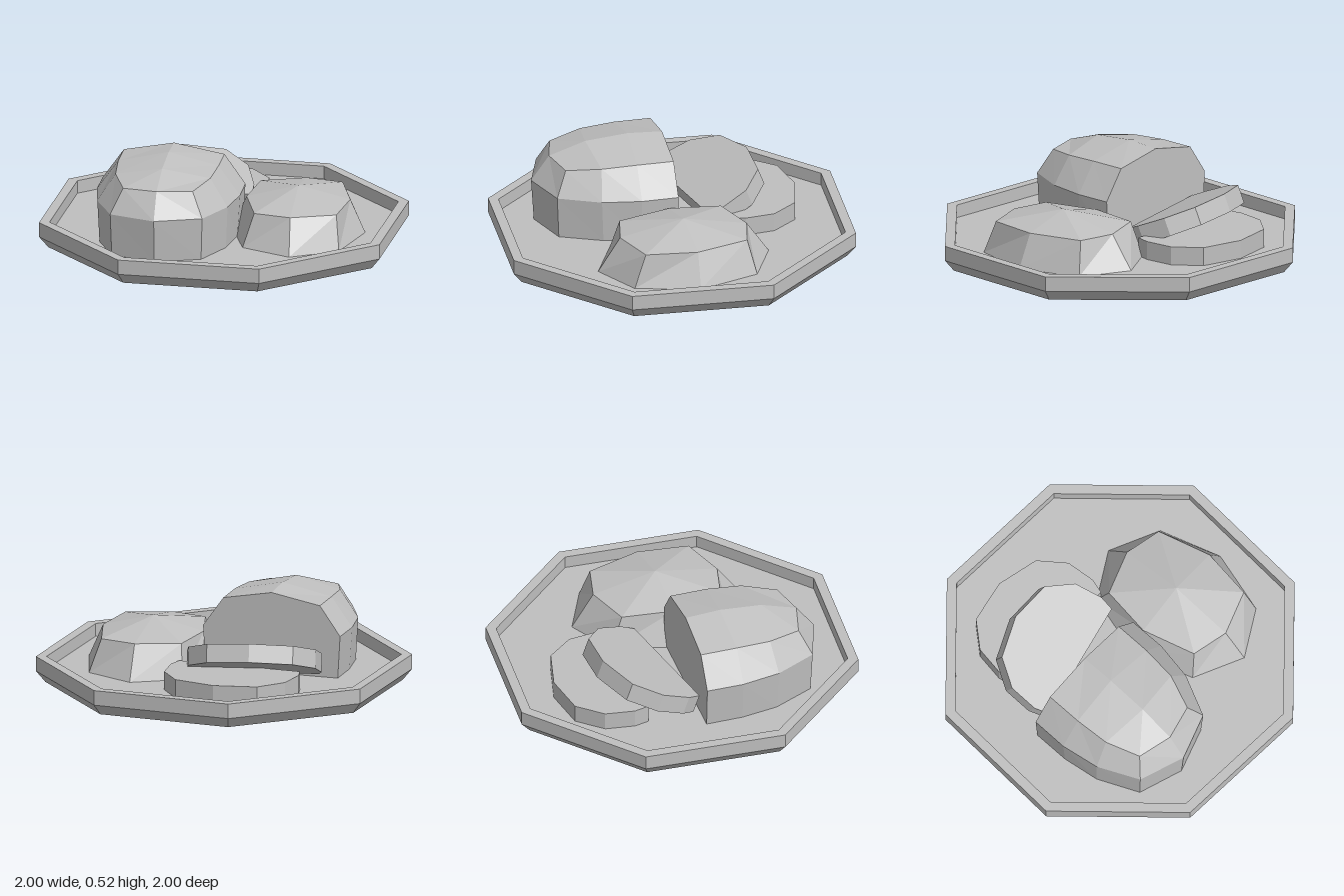
import * as THREE from 'three';

// Skin a list of equal-length cross-sections
function loft(sections, capStart = false) {
  const pos = [];
  const tri = (a, b, c) => {
    const same = (p, q) => p.every((v, i) => Math.abs(v - q[i]) < 1e-6);
    if (!same(a, b) && !same(b, c) && !same(c, a)) pos.push(...a, ...b, ...c);
  };
  for (let i = 0; i < sections.length - 1; i++) {
    const s = sections[i], n = sections[i + 1];
    for (let j = 0; j < s.length - 1; j++) {
      tri(s[j], s[j + 1], n[j + 1]);
      tri(s[j], n[j + 1], n[j]);
    }
  }
  if (capStart) {
    const s = sections[0];
    for (let j = 1; j < s.length - 1; j++) tri(s[0], s[j + 1], s[j]);
  }
  const g = new THREE.BufferGeometry();
  g.setAttribute('position', new THREE.Float32BufferAttribute(pos, 3));
  g.computeVertexNormals();
  return g;
}

export function createModel() {
  const model = new THREE.Group();
  const grey = new THREE.MeshStandardMaterial({ color: 0xbfbfbf, flatShading: true });
  grey.name = 'plain grey';
  const FLOOR = 0.07;

  const add = (name, geometry) => {
    const mesh = new THREE.Mesh(geometry, grey);
    mesh.name = name;
    model.add(mesh);
    return mesh;
  };

  // Octagonal plate with a raised rim
  const profile = [[0, 0], [0.95, 0], [1, 0.06], [1, 0.14], [0.943, 0.14], [0.943, FLOOR], [0, FLOOR]]
    .map(([x, y]) => new THREE.Vector2(x, y));
  add('plate', new THREE.LatheGeometry(profile, 8)).rotation.y = -0.007;

  // Cut loaf: half sections [x, y, z] from base to ridge, mirrored across x
  const halves = [
    [[0.37, FLOOR, 0], [0.383, 0.3, 0], [0.27, 0.46, 0], [0, 0.51, 0]],
    [[0.37, FLOOR, 0.2], [0.385, 0.3, 0.2], [0.27, 0.46, 0.2], [0, 0.52, 0.19]],
    [[0.34, FLOOR, 0.4], [0.35, 0.3, 0.41], [0.255, 0.45, 0.39], [0, 0.5, 0.42]],
    [[0.24, FLOOR, 0.62], [0.247, 0.3, 0.63], [0.187, 0.43, 0.57], [0, 0.435, 0.617]],
    [[0, FLOOR, 0.7], [0, 0.3, 0.715], [0, 0.435, 0.617], [0, 0.435, 0.617]],
  ];
  const sections = halves.map((h) => [
    ...h,
    ...h.slice(0, 3).reverse().map(([x, y, z]) => [-x, y, z]),
  ]);
  const loaf = add('cutLoaf', loft(sections, true));
  loaf.position.set(-0.25, 0, -0.1);
  loaf.rotation.y = -0.347;

  // Low roll: half rings turned half a circle to close them
  const ring = (pts, y) => {
    const all = [...pts, ...pts.map(([x, z]) => [-x, -z]), pts[0]];
    return all.map(([x, z]) => [x, y, z]);
  };
  const roll = add('roll', loft([
    ring([[0.14, 0.4], [0.34, 0.11], [0.35, -0.24], [0.14, -0.45]], FLOOR),
    ring([[0.14, 0.33], [0.265, 0.08], [0.283, -0.22], [0.11, -0.33]], 0.25),
    ring([[0, 0], [0, 0], [0, 0], [0, 0]], 0.32),
  ]));
  roll.position.set(0.37, 0, 0.17);

  // Arched bread slices, with the upper face at local z = 0
  const right = [[0.34, 0], [0.36, 0.08], [0.34, 0.24], [0.23, 0.375]];
  const arch = [...right, [0, 0.425], ...right.map(([x, y]) => [-x, y]).reverse()];
  const slice = (name, x, y, z, tilt, turn) => {
    const shape = new THREE.Shape(arch.map(([px, py]) => new THREE.Vector2(px, py)));
    const g = new THREE.ExtrudeGeometry(shape, { depth: 0.1, bevelEnabled: false });
    g.translate(0, 0, -0.1);
    g.rotateX(tilt - Math.PI / 2);
    g.rotateY(turn);
    add(name, g).position.set(x, y, z);
  };
  slice('flatSlice', -0.073, 0.17, -0.333, 0, -0.368);
  slice('leaningSlice', -0.165, 0.19, -0.16, 0.385, -0.12);

  return model;
}
